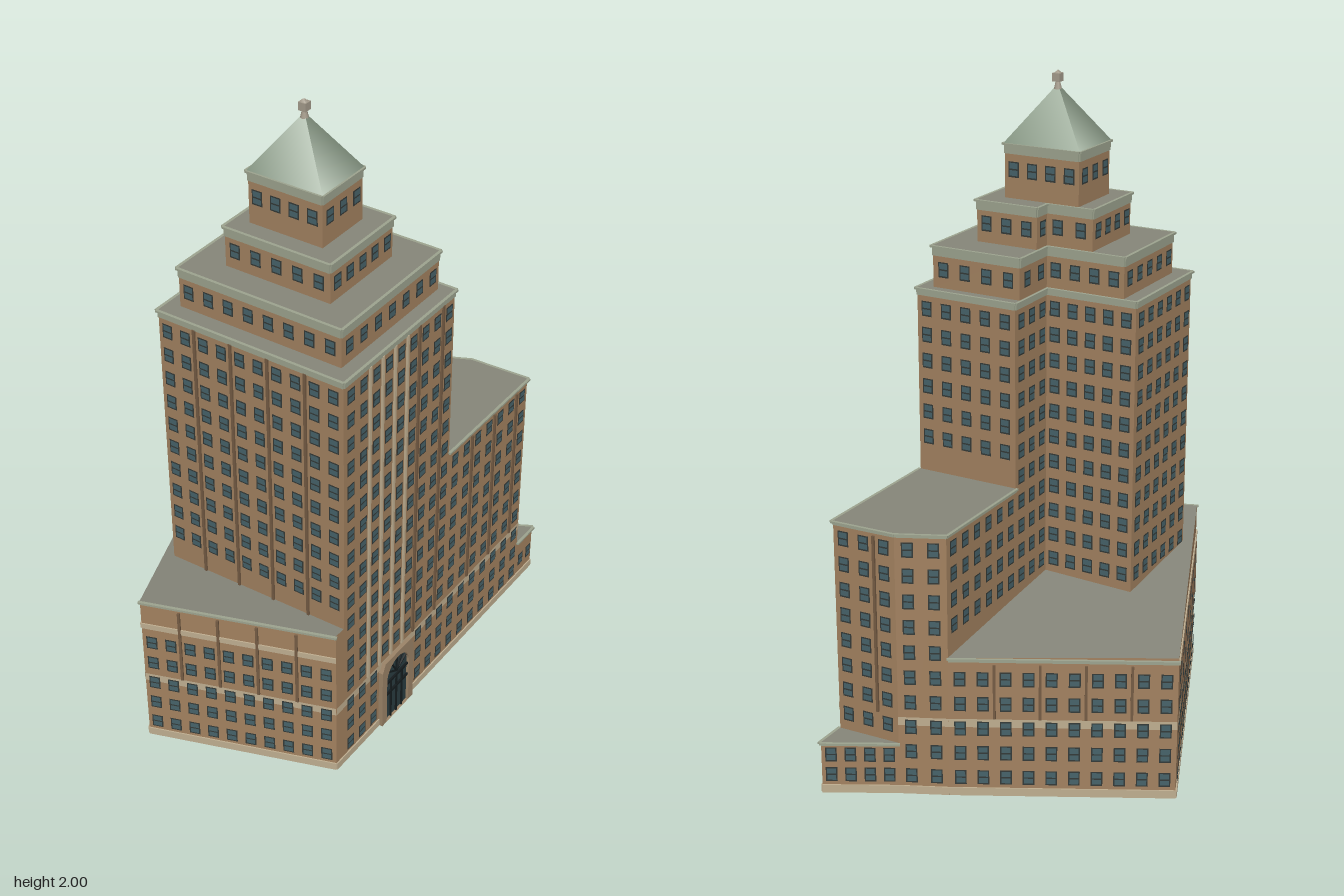
import * as THREE from 'three';
import { mergeGeometries } from 'three/addons/utils/BufferGeometryUtils.js';

// Plan corners [x, z]
const SW = [-0.675, 0.297], S = [-0.145, 0.555], E = [0.67, -0.25], N = [-0.305, -0.56];
const DIR = [0.7115, -0.7027];                       // along the entrance street
const ANGLE = Math.atan2(0.7027, 0.7115);
// point u along the entrance street and v behind it
const at = (u, v) => [S[0] + u * DIR[0] + v * DIR[1], S[1] + u * DIR[1] - v * DIR[0]];

// the low roof falls gently from the south-west street to the back
const lowRoofY = ([x, z]) => 0.53 - 0.086 * ((x - SW[0]) * 0.438 - (z - SW[1]) * 0.899);

const COLORS = {
  walls: 0xa38260, roofs: 0x86867a, windowFrames: 0x343a38, windowPanes: 0x47636a,
  piers: 0x755c44, stoneBands: 0xbfae90, cornices: 0x9da48f, spireRoof: 0x8b9c88,
  entranceSurround: 0x9c8468, entranceGlass: 0x2a3c41, entranceBars: 0x151c1e, finial: 0xa59c8c,
};

const FLOOR = 0.079;
const floorRows = (y0, y1) => {
  const rows = [];
  for (let y = 0.06; y < y1 - 0.03; y += FLOOR) if (y > y0 + 0.035) rows.push(y);
  return rows;
};

export function createModel() {
  const model = new THREE.Group();
  const parts = {};
  const add = (name, geometry) => {
    const g = geometry.index ? geometry.toNonIndexed() : geometry;
    (parts[name] ??= []).push(g);
  };

  // One facade from p to q (left to right seen from outside) with windows, piers and bands
  function facade(p, q, y0, top, o = {}) {
    const [ya, yb] = Array.isArray(top) ? top : [top, top];
    const dx = q[0] - p[0], dz = q[1] - p[1], len = Math.hypot(dx, dz);
    const frame = new THREE.Matrix4().makeRotationY(Math.atan2(-dz, dx)).setPosition(p[0], 0, p[1]);
    const put = (name, g) => add(name, g.applyMatrix4(frame));
    const panel = (name, x, y, w, h, off) => put(name, new THREE.PlaneGeometry(w, h).translate(x, y, off));
    const strip = (name, x, y, w, h, d) => put(name, new THREE.BoxGeometry(w, h, d).translate(x, y, d / 2));

    put('walls', new THREE.ShapeGeometry(new THREE.Shape([[0, y0], [len, y0], [len, yb], [0, ya]]
      .map(([x, y]) => new THREE.Vector2(x, y)))));

    const flat = Math.min(ya, yb);
    const n = o.columns ?? Math.max(1, Math.round(len / 0.064));
    const step = len / n;
    const rows = o.rows ?? floorRows(y0, o.windowTop ?? flat);
    const skip = o.skip ?? (() => false);
    for (const y of rows) {
      for (let i = 0; i < n; i++) {
        const x = (i + 0.5) * step;
        if (skip(x, y)) continue;
        const w = Math.min(0.034, step * 0.6);
        panel('windowFrames', x, y, w, 0.046, 0.003);
        panel('windowPanes', x, y + 0.011, w - 0.008, 0.017, 0.004);
        panel('windowPanes', x, y - 0.01, w - 0.008, 0.016, 0.004);
      }
    }
    // piers stand between every second pair of columns
    if (o.piers) {
      for (let i = 1; i < n; i++) {
        const bright = o.bright && i > 1 && i < 6;
        if (!bright && i % 2) continue;
        const low = Math.max(y0, 0.25), high = flat - 0.02;
        strip(bright ? 'stoneBands' : 'piers', i * step, (low + high) / 2, 0.008, high - low, 0.006);
      }
    }
    if (y0 === 0) {
      strip('stoneBands', len / 2, 0.0125, len, 0.025, 0.004);
      if (flat > 0.3) panel('stoneBands', len / 2, 0.235, len, 0.026, 0.0015);
    }
    if (o.band) strip('stoneBands', len / 2, o.band, len, 0.018, 0.004);
    if (o.cornice) {
      strip('cornices', len / 2, flat - o.cornice / 2, len, o.cornice, 0.004);
      strip('cornices', len / 2, flat - 0.003, len + 0.008, 0.006, 0.009);
    }
  }

  function roof(points, height) {
    const g = new THREE.ShapeGeometry(new THREE.Shape(points.map(([x, z]) => new THREE.Vector2(x, -z))));
    g.rotateX(-Math.PI / 2);
    const pos = g.attributes.position;
    for (let i = 0; i < pos.count; i++) {
      pos.setY(i, typeof height === 'number' ? height : height([pos.getX(i), pos.getZ(i)]));
    }
    g.computeVertexNormals();
    add('roofs', g);
  }

  // L-shaped tower outline; both wings meet at the rear notch
  const NOTCH = [0.404, 0.327];
  const ell = (u0, u1, v0, v1) => [[u0, v1], [u0, v0], [u1, v0], [u1, NOTCH[1]], NOTCH, [NOTCH[0], v1]]
    .map(([u, v]) => at(u, v));
  const ring = (points, fn) => points.forEach((p, i) => fn(p, points[(i + 1) % points.length], i));

  // Tower shaft
  const shaft = ell(0.04, 0.588, 0, 0.617);
  const DOOR_U = 0.31;
  const doorX = DOOR_U - 0.04;
  const bases = [0.5, 0, 0.82, 0.44, 0.44, 0.44];
  ring(shaft, (p, q, i) => facade(p, q, bases[i], 1.385, {
    piers: i < 2, bright: i === 1, cornice: 0.022,
    skip: (x, y) => i === 1 && y < 0.25 && Math.abs(x - doorX) < 0.1,
  }));
  roof(shaft, 1.385);

  // Stepped upper storeys
  const tiers = [
    [ell(0.088, 0.563, 0.04, 0.577), 1.385, 1.51, 1.44],
    [ell(0.168, 0.464, 0.13, 0.475), 1.51, 1.635, 1.567],
    [[[0.22, 0.43], [0.22, 0.19], [0.406, 0.19], [0.406, 0.43]].map(([u, v]) => at(u, v)), 1.635, 1.795, 1.72],
  ];
  for (const [outline, y0, y1, row] of tiers) {
    ring(outline, (p, q) => facade(p, q, y0, y1, { rows: [row], cornice: 0.03 }));
    roof(outline, y1);
  }

  // Spire roof and finial
  const [cx, cz] = at(0.313, 0.31);
  add('spireRoof', new THREE.ConeGeometry(Math.SQRT1_2, 1, 4, 1, true).toNonIndexed().rotateY(Math.PI / 4)
    .scale(0.192, 0.165, 0.246).rotateY(ANGLE).translate(cx, 1.8775, cz));
  add('finial', new THREE.CylinderGeometry(0.006, 0.012, 0.025, 8).translate(cx, 1.958, cz));
  add('finial', new THREE.BoxGeometry(0.024, 0.024, 0.024).rotateY(ANGLE).translate(cx, 1.979, cz));
  add('finial', new THREE.ConeGeometry(0.012, 0.009, 4).translate(cx, 1.9955, cz));

  // Mid-height wing beside the tower
  const front = at(1.047, 0), cut = [0.455, -0.315], back = [0.318, -0.365], join = shaft[3];
  const wing = [shaft[2], front, cut, back, join];
  const wingBases = [0, 0.16, 0, 0.44];
  for (let i = 0; i < 4; i++) {
    facade(wing[i], wing[i + 1], wingBases[i], 0.82, { piers: i < 3, cornice: 0.012 });
  }
  roof(wing, 0.82);

  // Low corner annex
  facade(front, E, 0, 0.163, { rows: [0.08], cornice: 0.01 });
  facade(E, cut, 0, 0.163, { rows: [0.06, 0.125], cornice: 0.01 });
  roof([front, E, cut], 0.163);

  // Low block on the other streets
  facade(SW, S, 0, 0.53, { windowTop: 0.43, band: 0.437, piers: true, cornice: 0.012, columns: 10 });
  facade(S, shaft[1], 0, 0.53, { rows: [] });
  facade(back, N, 0, [lowRoofY(back), lowRoofY(N)], { piers: true, cornice: 0.012 });
  facade(N, SW, 0, [lowRoofY(N), 0.53], { windowTop: 0.43, piers: true, band: 0.436 });
  roof([SW, S, shaft[1], shaft[0], shaft[5], shaft[4], join, back, N], lowRoofY);

  // Arched entrance
  const arch = (r, spring) => {
    const s = new THREE.Shape();
    s.moveTo(-r, 0).lineTo(r, 0).lineTo(r, spring).absarc(0, spring, r, 0, Math.PI, false).lineTo(-r, 0);
    return s;
  };
  const [ex, ez] = at(DOOR_U, 0);
  const placeDoor = (name, g) => add(name, g.rotateY(ANGLE).translate(ex, 0, ez));
  const surround = new THREE.Shape([[-0.085, 0], [0.085, 0], [0.085, 0.215], [0.07, 0.245], [-0.07, 0.245], [-0.085, 0.215]]
    .map(([x, y]) => new THREE.Vector2(x, y)));
  surround.holes.push(arch(0.06, 0.165));
  placeDoor('entranceSurround', new THREE.ExtrudeGeometry(surround, { depth: 0.014, bevelEnabled: false, curveSegments: 16 }));
  placeDoor('entranceGlass', new THREE.ShapeGeometry(arch(0.06, 0.165), 16).translate(0, 0, 0.005));
  for (const x of [-0.03, 0, 0.03]) {
    placeDoor('entranceBars', new THREE.BoxGeometry(0.005, 0.15, 0.005).translate(x, 0.075, 0.008));
  }
  for (const y of [0.105, 0.15]) {
    placeDoor('entranceBars', new THREE.BoxGeometry(0.12, 0.008, 0.006).translate(0, y, 0.008));
  }
  for (let i = 1; i < 6; i++) {
    placeDoor('entranceBars', new THREE.BoxGeometry(0.058, 0.004, 0.005).translate(0.029, 0, 0)
      .rotateZ(i * Math.PI / 6).translate(0, 0.165, 0.008));
  }

  // One mesh per kind of part
  for (const [name, list] of Object.entries(parts)) {
    const material = new THREE.MeshStandardMaterial({ color: COLORS[name], side: THREE.DoubleSide });
    const mesh = new THREE.Mesh(mergeGeometries(list), material);
    mesh.name = name;
    model.add(mesh);
  }
  return model;
}
